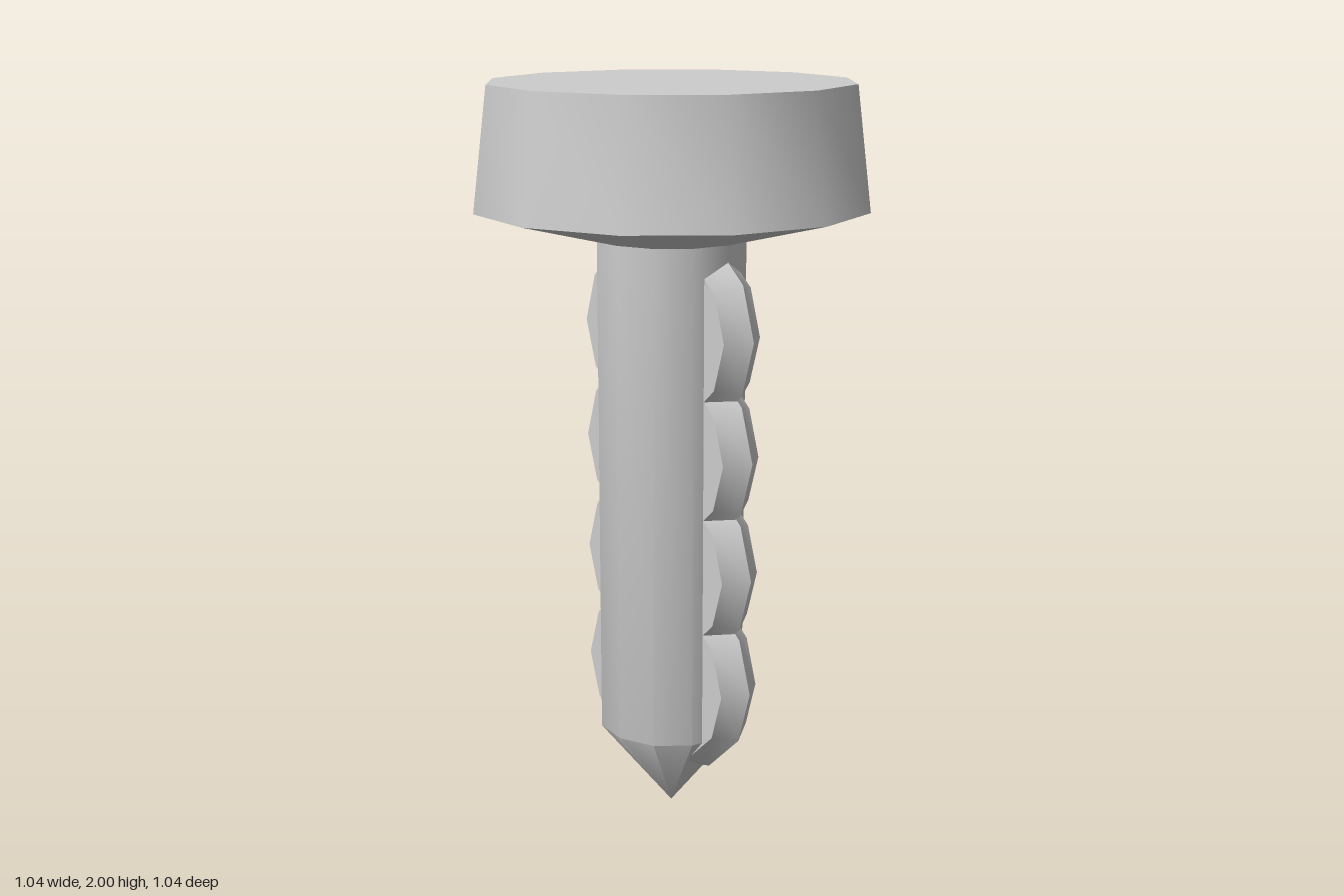
import * as THREE from 'three';
import { toCreasedNormals } from 'three/addons/utils/BufferGeometryUtils.js';

const CREASE = 0.78; // smooth round the sides, sharp at the rims

export function createModel() {
  const model = new THREE.Group();
  model.name = 'screw';
  const steel = new THREE.MeshStandardMaterial({ color: 0xcccccc });
  steel.name = 'steel';

  const add = (name, geometry) => {
    const mesh = new THREE.Mesh(toCreasedNormals(geometry, CREASE), steel);
    mesh.name = name;
    model.add(mesh);
    return mesh;
  };
  const lathe = (points) =>
    new THREE.LatheGeometry(points.map(([r, y]) => new THREE.Vector2(r, y)), 12);

  // Pointed shaft
  add('shaft', lathe([[0, 0], [0.2, 0.25], [0.2, 1.6]]));

  // Tapered head with a sloping underside
  add('head', lathe([[0.2, 1.6], [0.52, 1.68], [0.48, 2], [0, 2]]));

  // Thread: four upright rings passing through the shaft
  for (let i = 0; i < 4; i++) {
    add(`threadRing${i + 1}`, new THREE.TorusGeometry(0.21, 0.08, 6, 12)).position.y = 0.4 + i * 0.32;
  }
  return model;
}
